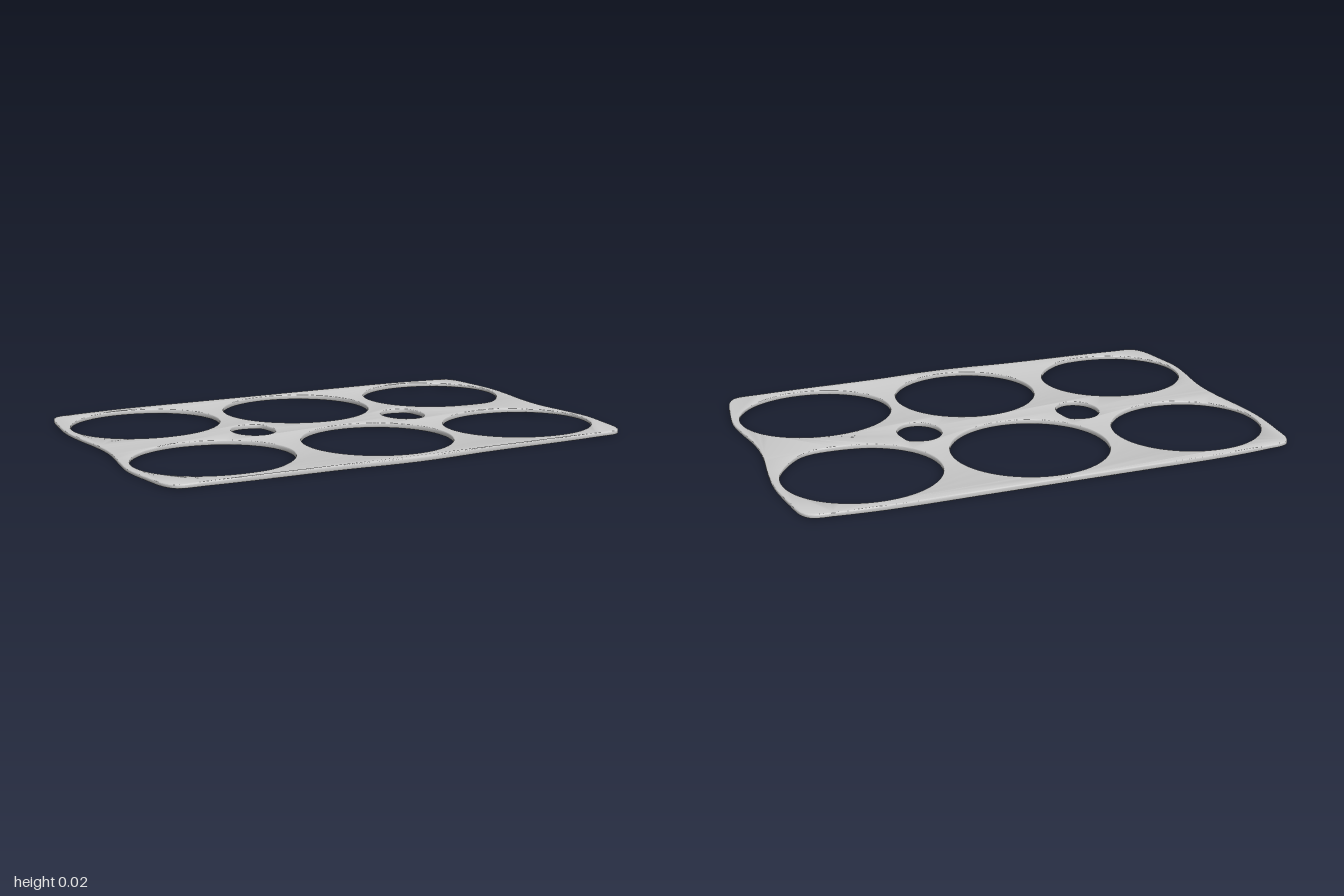
import * as THREE from 'three';
import { toCreasedNormals } from 'three/addons/utils/BufferGeometryUtils.js';

const THICKNESS = 0.021;
const BEVEL = 0.005;

// Oval hole given by its extents, with an optional local bulge at one angle
function oval([x0, x1, z0, z1, bulgeAngle = 0, bulge = 0], segments) {
  const cx = (x0 + x1) / 2, cz = (z0 + z1) / 2;
  const rx = (x1 - x0) / 2, rz = (z1 - z0) / 2;
  const points = [];
  for (let i = 0; i < segments; i++) {
    const a = (i / segments) * Math.PI * 2;
    const d = Math.atan2(Math.sin(a - bulgeAngle), Math.cos(a - bulgeAngle));
    const b = bulge * Math.exp(-((d / 0.3) ** 2));
    points.push(new THREE.Vector2(cx + Math.cos(a) * (rx + b), cz + Math.sin(a) * (rz + b)));
  }
  return new THREE.Path(points);
}

export function createModel() {
  const group = new THREE.Group();
  group.name = 'cupHolderPlate';

  // Right half of the softly waved outline as (x, z), mirrored for the other half
  const half = [
    [0.3, -0.68], [0.65, -0.68], [0.85, -0.668], [0.94, -0.655], [0.968, -0.62],
    [0.985, -0.52], [0.999, -0.36], [0.99, -0.22], [0.972, -0.08], [0.966, 0.03],
    [0.972, 0.12], [0.99, 0.24], [0.999, 0.35], [0.985, 0.47], [0.96, 0.595],
    [0.925, 0.638], [0.82, 0.645], [0.6, 0.65], [0.3, 0.656], [0.12, 0.67],
  ];
  const ring = [
    [0, -0.68], ...half, [0, 0.674],
    ...half.slice().reverse().map(([x, z]) => [-x, z]),
  ].map(([x, z]) => new THREE.Vector3(x, z, 0));
  const outline = new THREE.CatmullRomCurve3(ring, true, 'centripetal');
  const edge = outline.getPoints(240).slice(0, -1).map((p) => new THREE.Vector2(p.x, p.y));
  const plate = new THREE.Shape(edge);

  // Six cup holes: x min, x max, z min, z max, bulge angle, bulge
  const cups = [
    [-0.97, -0.37, -0.635, -0.07],
    [-0.307, 0.307, -0.645, -0.044],
    [0.37, 0.97, -0.635, -0.072, 1.1, 0.018],
    [-0.97, -0.36, 0.052, 0.602, 1.2, 0.008],
    [-0.28, 0.307, 0.045, 0.62],
    [0.355, 0.97, 0.054, 0.605],
  ];
  // Two finger holes between the cups
  const fingers = [
    [-0.427, -0.258, -0.135, 0.073, -0.8, 0.012],
    [0.253, 0.425, -0.135, 0.075, -0.8, 0.012],
  ];
  plate.holes.push(...cups.map((c) => oval(c, 72)), ...fingers.map((f) => oval(f, 40)));

  // Thin plate with rounded rims
  let geometry = new THREE.ExtrudeGeometry(plate, {
    depth: THICKNESS - 2 * BEVEL,
    bevelEnabled: true,
    bevelThickness: BEVEL,
    bevelSize: BEVEL,
    bevelOffset: -BEVEL,
    bevelSegments: 3,
  });
  geometry.rotateX(Math.PI / 2);
  geometry.translate(0, THICKNESS - BEVEL, 0);

  // The plate thins slightly towards its short ends
  const pos = geometry.attributes.position;
  const mid = THICKNESS / 2;
  for (let i = 0; i < pos.count; i++) {
    const k = 1 - 0.25 * THREE.MathUtils.smoothstep(Math.abs(pos.getX(i)), 0.6, 1);
    pos.setY(i, mid + (pos.getY(i) - mid) * k);
  }
  geometry = toCreasedNormals(geometry, 0.7);

  const mesh = new THREE.Mesh(geometry, new THREE.MeshStandardMaterial({ color: 0xcccccc }));
  mesh.name = 'plate';
  group.add(mesh);
  return group;
}
